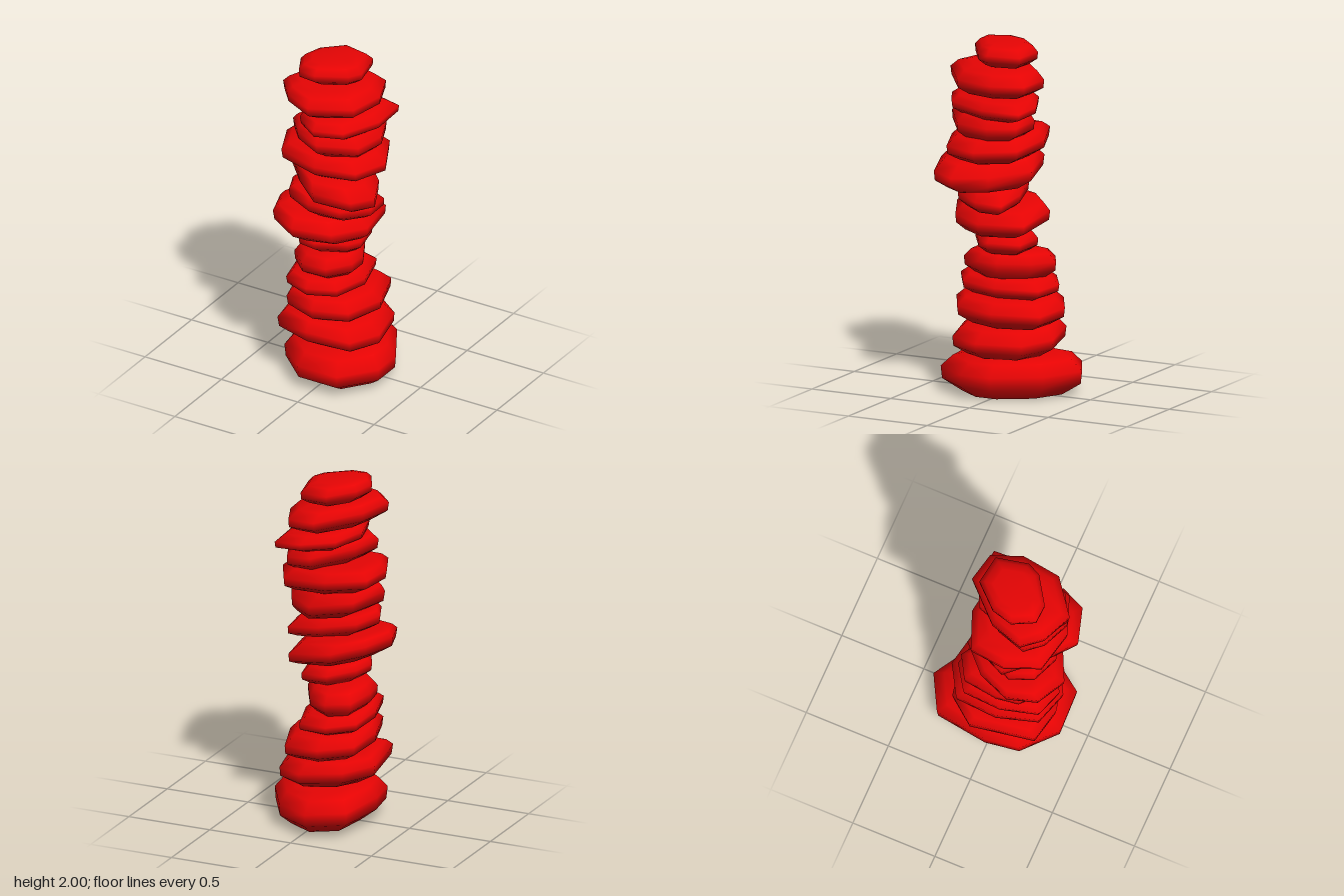
import * as THREE from 'three';

// Stone outlines seen from above as [x, z], running from +x towards +z
const outlines = [
  [[-0.05, -0.42], [0.17, -0.29], [0.32, -0.03], [0.32, 0.155], [0.17, 0.36], [-0.08, 0.37], [-0.27, 0.2], [-0.3, 0], [-0.255, -0.31]],
  [[-0.325, -0.085], [-0.2, -0.24], [0.05, -0.29], [0.22, -0.18], [0.28, 0.08], [0.2, 0.27], [-0.05, 0.33], [-0.26, 0.29]],
  [[-0.25, -0.2], [-0.07, -0.305], [0.15, -0.265], [0.24, 0], [0.18, 0.25], [0, 0.35], [-0.2, 0.29], [-0.27, 0.05]],
  [[-0.25, -0.05], [-0.1, -0.19], [0.17, -0.17], [0.215, 0.1], [0.1, 0.3], [-0.1, 0.395], [-0.275, 0.31], [-0.33, 0.14]],
  [[0.33, 0.21], [0.26, 0.355], [0.05, 0.42], [-0.13, 0.28], [-0.3, 0.1], [-0.2, -0.1], [0.05, -0.155], [0.24, 0.02]],
  [[0, -0.21], [0.175, -0.175], [0.245, 0], [0.21, 0.23], [0, 0.385], [-0.18, 0.31], [-0.275, 0.2], [-0.21, 0]],
  [[-0.05, -0.145], [0.12, -0.12], [0.16, 0.07], [0.12, 0.15], [-0.04, 0.255], [-0.145, 0.25], [-0.21, 0.12], [-0.175, -0.01]],
  [[0.08, -0.2], [0.25, -0.18], [0.26, 0.05], [0.17, 0.29], [0.02, 0.37], [-0.12, 0.28], [-0.17, 0.08], [-0.1, -0.12]],
];

// Outline, x range, z range, y range, rise from -x to +x, rise from -z to +z
const stones = [
  [0, -0.30, 0.32, -0.42, 0.37, 0.00, 0.23, -0.02, 0.00],
  [1, -0.325, 0.28, -0.29, 0.33, 0.22, 0.42, -0.07, 0.01],
  [2, -0.27, 0.24, -0.30, 0.35, 0.39, 0.57, -0.04, 0.03],
  [2, -0.26, 0.155, -0.25, 0.345, 0.54, 0.68, -0.03, 0.03],
  [0, -0.24, 0.14, -0.235, 0.285, 0.65, 0.81, 0.00, 0.01],
  [6, -0.21, 0.155, -0.14, 0.255, 0.80, 0.93, -0.03, 0.01],
  [3, -0.33, 0.215, -0.19, 0.40, 0.91, 1.10, -0.09, 0.00],
  [7, -0.26, 0.24, -0.07, 0.325, 1.05, 1.22, -0.08, 0.03],
  [4, -0.30, 0.33, -0.155, 0.42, 1.17, 1.39, -0.11, 0.03],
  [2, -0.305, 0.32, -0.18, 0.365, 1.34, 1.51, -0.06, 0.00],
  [5, -0.215, 0.26, -0.165, 0.36, 1.47, 1.65, -0.07, 0.01],
  [7, -0.17, 0.26, -0.20, 0.37, 1.59, 1.72, -0.04, 0.01],
  [5, -0.275, 0.24, -0.205, 0.39, 1.71, 1.88, -0.05, 0.02],
  [6, -0.21, 0.16, -0.14, 0.255, 1.87, 2.00, -0.02, 0.01],
];

// Rounded edge profile: [height, outline scale] from underside to top
const profile = [[-1, 0.71], [-0.4, 0.98], [0.25, 1], [0.8, 0.84], [1, 0.6]];

function stoneGeometry([shape, x0, x1, z0, z1, y0, y1, riseX, riseZ]) {
  const outline = outlines[shape];
  const n = outline.length;
  const box = new THREE.Box2().setFromPoints(outline.map(([x, z]) => new THREE.Vector2(x, z)));
  const fit = (v, a, b) => 2 * (v - a) / (b - a) - 1;
  const cx = (x0 + x1) / 2, cy = (y0 + y1) / 2, cz = (z0 + z1) / 2;
  // Half thickness left over once the tilt is taken out of the y range
  const half = (y1 - y0) / 2 - 0.18 * Math.abs(riseX) - 0.1 * Math.abs(riseZ);
  const positions = [], index = [];
  // The caps tilt less than the rim and lean towards its high side
  const add = (u, v, h) => positions.push(
    cx + u * (x1 - x0) / 2 + 0.4 * h ** 3 * riseX,
    cy + h * half + (u * riseX + v * riseZ) * (0.5 - 0.2 * Math.abs(h)),
    cz + v * (z1 - z0) / 2 + 0.4 * h ** 3 * riseZ);

  for (const [h, s] of profile) {
    for (const [x, z] of outline) {
      add(s * fit(x, box.min.x, box.max.x), s * fit(z, box.min.y, box.max.y), h);
    }
  }
  add(0, 0, -1);
  add(0, 0, 1);

  const last = profile.length - 1;
  const under = n * profile.length, top = under + 1;
  for (let j = 0; j < n; j++) {
    const k = (j + 1) % n;
    for (let i = 0; i < last; i++) {
      const a = i * n + j, b = i * n + k;
      index.push(a, a + n, b, b, a + n, b + n);
    }
    index.push(under, j, k, top, last * n + k, last * n + j);
  }

  const geometry = new THREE.BufferGeometry();
  geometry.setAttribute('position', new THREE.Float32BufferAttribute(positions, 3));
  geometry.setIndex(index);
  geometry.computeVertexNormals();
  return geometry;
}

export function createModel() {
  const group = new THREE.Group();
  group.name = 'stoneStack';
  const material = new THREE.MeshStandardMaterial({ color: 0xe60404 });
  stones.forEach((stone, i) => {
    const mesh = new THREE.Mesh(stoneGeometry(stone), material);
    mesh.name = `stone${i + 1}`;
    group.add(mesh);
  });
  return group;
}
